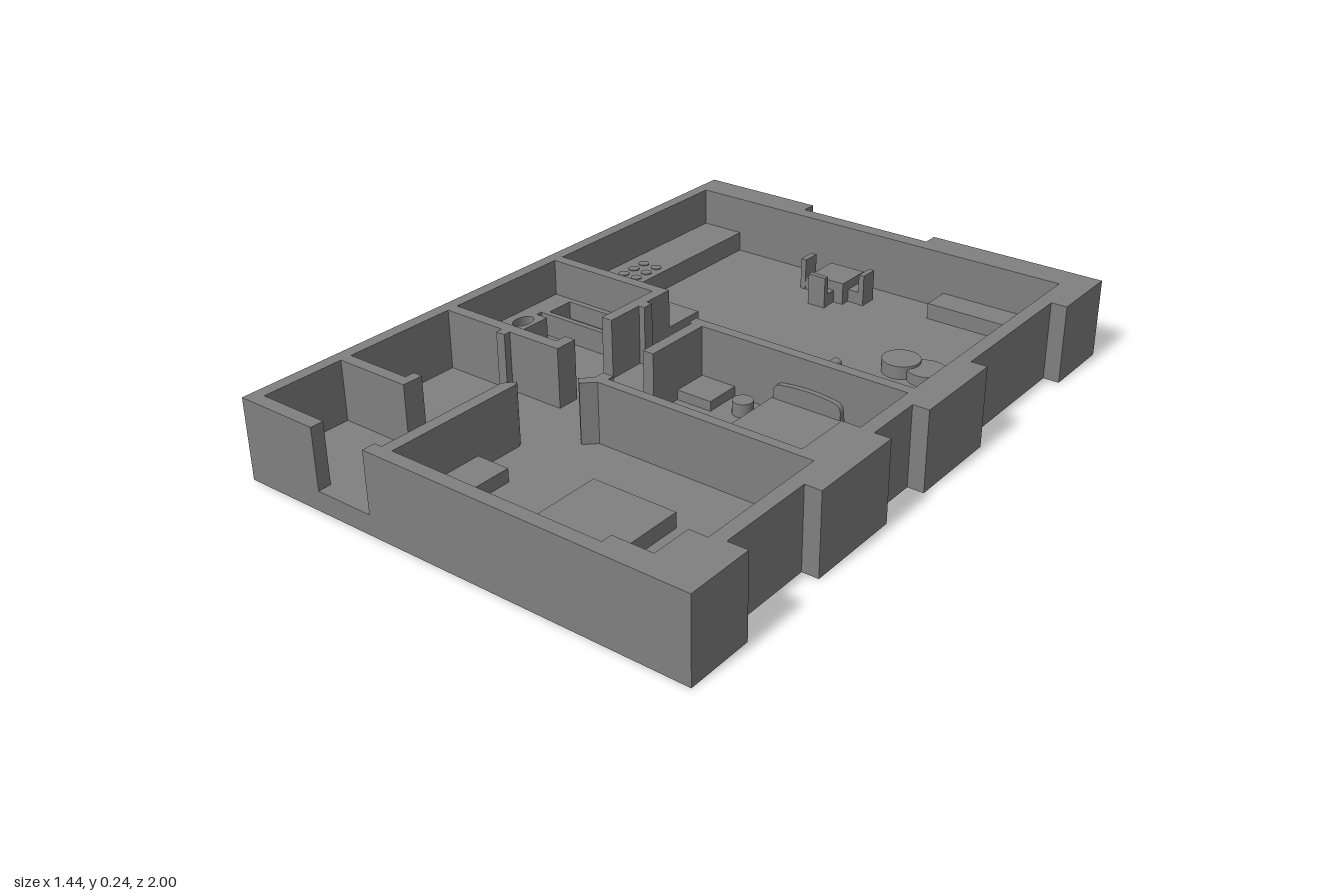
import * as THREE from 'three';

const FLOOR = 0.06, TOP = 0.242;
const material = new THREE.MeshStandardMaterial({ color: 0x808080, flatShading: true });
const smooth = new THREE.MeshStandardMaterial({ color: 0x808080 });

// Outer plan [x, z], from the right of the entrance round to its left
const outer = [
  [-0.272, 1], [0.718, 1], [0.718, 0.795], [0.659, 0.795], [0.659, 0.495], [0.708, 0.495],
  [0.708, 0.19], [0.659, 0.19], [0.659, 0.008], [0.708, 0.008], [0.708, -0.295], [0.659, -0.295],
  [0.659, -0.767], [0.708, -0.767], [0.708, -1], [0.142, -1], [0.142, -0.952], [-0.313, -0.952],
  [-0.313, -1], [-0.718, -1], [-0.718, 1], [-0.457, 1],
];
// Inner faces of the rooms, one run of points per room
const entry = [[-0.457, 0.96], [-0.68, 0.96], [-0.68, 0.705], [-0.442, 0.705], [-0.442, 0.64], [-0.472, 0.64], [-0.472, 0.67]];
const closet = [[-0.68, 0.67], [-0.68, 0.308], [-0.472, 0.308], [-0.472, 0.33], [-0.442, 0.33], [-0.442, 0.308], [-0.267, 0.308]];
const bathroom = [
  [-0.267, 0.237], [-0.302, 0.237], [-0.302, 0.272], [-0.68, 0.272], [-0.68, -0.143], [-0.302, -0.143],
  [-0.302, 0.082], [-0.267, 0.082], [-0.267, -0.04], [-0.248, -0.04], [-0.248, -0.075], [-0.267, -0.075],
];
const living = [[-0.267, -0.178], [-0.68, -0.178], [-0.68, -0.903], [0.617, -0.903], [0.617, -0.073], [-0.088, -0.073], [-0.088, -0.04]];
const smallBedroom = [
  [-0.077, -0.04], [-0.077, 0.177], [-0.042, 0.177], [-0.042, -0.04], [0.617, -0.04], [0.617, 0.187],
  [0.563, 0.187], [0.563, 0.362], [-0.042, 0.362], [-0.042, 0.342], [-0.077, 0.342], [-0.077, 0.375],
];
const largeBedroom = [
  [-0.108, 0.405], [-0.088, 0.425], [-0.053, 0.392], [0.617, 0.392], [0.617, 0.807], [0.563, 0.807],
  [0.563, 0.927], [0.443, 0.927], [0.443, 0.96], [-0.212, 0.96], [-0.212, 0.53], [-0.221, 0.515],
  [-0.248, 0.545], [-0.248, 0.96], [-0.272, 0.96],
];

const plan = (points) => new THREE.Shape(points.map(([x, z]) => new THREE.Vector2(x, -z)));
const rectPlan = (x0, x1, z0, z1) => plan([[x0, z0], [x1, z0], [x1, z1], [x0, z1]]);
const ovalPlan = (x, z, rx, rz) => new THREE.Path().absellipse(x, -z, rx, rz, 0, Math.PI * 2);

function add(group, name, geometry, mat = material) {
  const mesh = new THREE.Mesh(geometry, mat);
  mesh.name = name;
  group.add(mesh);
}

// Raise a plan shape from y0 to y1
function raise(group, name, shape, y0, y1) {
  const geometry = new THREE.ExtrudeGeometry(shape, { depth: y1 - y0, bevelEnabled: false, curveSegments: 16 });
  geometry.rotateX(-Math.PI / 2).translate(0, y0, 0);
  add(group, name, geometry);
}

function box(group, name, x0, x1, z0, z1, top, bottom = FLOOR) {
  const geometry = new THREE.BoxGeometry(x1 - x0, top - bottom, z1 - z0);
  geometry.translate((x0 + x1) / 2, (top + bottom) / 2, (z0 + z1) / 2);
  add(group, name, geometry);
}

function disc(group, name, x, z, radius, top, bottom = FLOOR) {
  const geometry = new THREE.CylinderGeometry(radius, radius, top - bottom, 32);
  geometry.translate(x, (top + bottom) / 2, z);
  add(group, name, geometry, smooth);
}

// Upright panel with rounded top corners and a crown rising to the middle
function panel(group, name, x0, x1, z0, z1, top, radius, crown) {
  const shape = new THREE.Shape();
  shape.moveTo(x0, FLOOR);
  shape.lineTo(x1, FLOOR);
  shape.lineTo(x1, top - radius);
  shape.quadraticCurveTo(x1, top, x1 - radius, top);
  shape.quadraticCurveTo((x0 + x1) / 2, top + crown, x0 + radius, top);
  shape.quadraticCurveTo(x0, top, x0, top - radius);
  const geometry = new THREE.ExtrudeGeometry(shape, { depth: z1 - z0, bevelEnabled: false, curveSegments: 8 });
  add(group, name, geometry.translate(0, 0, z0));
}

// Block with a basin sunk into its top
function basinBlock(group, name, [x0, x1, z0, z1], hole, top, depth) {
  const shape = rectPlan(x0, x1, z0, z1);
  shape.holes.push(hole);
  raise(group, name, shape, top - depth, top);
  box(group, name + 'Base', x0, x1, z0, z1, top - depth);
}

// Bed between z0 and z1, with its arched headboard starting at z = head
function bed(group, name, x0, x1, z0, z1, head) {
  const g = new THREE.Group();
  g.name = name;
  box(g, 'mattress', x0, x1, z0, z1, 0.105);
  panel(g, 'headboard', x0 + 0.004, x1 - 0.004, head, head + 0.016, 0.152, 0.03, 0.012);
  group.add(g);
}

// Dining chair: seat block and a back on the side away from the table
function chair(group, x, z, angle) {
  const g = new THREE.Group();
  g.name = 'diningChair';
  box(g, 'seat', -0.028, 0.028, 0, 0.054, 0.1);
  box(g, 'backrest', -0.03, 0.03, 0.038, 0.056, 0.16);
  g.position.set(x, 0, z);
  g.rotation.y = angle;
  group.add(g);
}

export function createModel() {
  const model = new THREE.Group();
  model.name = 'apartment';

  // Shell
  raise(model, 'floorSlab', plan(outer), 0, FLOOR);
  raise(model, 'walls', plan([...outer, ...entry, ...closet, ...bathroom, ...living, ...smallBedroom, ...largeBedroom]), FLOOR, TOP);

  // Kitchen
  box(model, 'longCounter', -0.68, -0.537, -0.903, -0.318, 0.123);
  const sink = new THREE.Path();
  sink.absarc(-0.43, 0.255, 0.032, -Math.PI / 2, Math.PI / 2);
  sink.absarc(-0.472, 0.255, 0.032, Math.PI / 2, Math.PI * 1.5);
  sink.closePath();
  basinBlock(model, 'sinkCounter', [-0.68, -0.267, -0.318, -0.178], sink, 0.123, 0.035);
  for (const x of [-0.625, -0.575])
    for (const z of [-0.5, -0.45, -0.4]) disc(model, 'burner', x, z, 0.017, 0.126, 0.12);

  // Dining set
  box(model, 'diningTable', -0.143, -0.022, -0.857, -0.737, 0.13);
  chair(model, -0.083, -0.737, 0);
  chair(model, -0.022, -0.797, Math.PI / 2);
  chair(model, -0.143, -0.797, -Math.PI / 2);

  // Living room
  box(model, 'mediaCabinet', 0.24, 0.547, -0.903, -0.808, 0.11);
  disc(model, 'coffeeTable', 0.36, -0.453, 0.057, 0.1);
  disc(model, 'lowCoffeeTable', 0.443, -0.453, 0.057, 0.092);
  const sofa = new THREE.Group();
  sofa.name = 'sofa';
  box(sofa, 'seat', 0.26, 0.525, -0.28, -0.16, 0.11);
  panel(sofa, 'backrest', 0.238, 0.546, -0.16, -0.123, 0.18, 0.016, 0);
  for (const x of [0.238, 0.516]) panel(sofa, 'arm', x, x + 0.03, -0.28, -0.16, 0.137, 0.012, 0);
  model.add(sofa);

  // Bathroom
  const tub = new THREE.Path();
  tub.moveTo(-0.61, 0.035);
  tub.lineTo(-0.385, 0.035);
  tub.absarc(-0.385, 0.08, 0.045, -Math.PI / 2, Math.PI / 2);
  tub.lineTo(-0.61, 0.125);
  tub.closePath();
  basinBlock(model, 'bathtub', [-0.68, -0.302, -0.143, -0.018], tub, 0.13, 0.055);
  basinBlock(model, 'vanity', [-0.68, -0.588, 0.002, 0.112], ovalPlan(-0.628, 0.062, 0.025, 0.038), 0.13, 0.03);
  box(model, 'ledge', -0.68, -0.628, -0.018, 0.002, 0.13);
  box(model, 'ledge', -0.68, -0.628, 0.112, 0.272, 0.13);

  // Toilet: D-shaped bowl in front of a slim cistern
  const bowlOutline = (x, r, Type) => {
    const p = new Type();
    p.moveTo(x, -0.193 - r);
    p.lineTo(-0.575, -0.193 - r * 0.9);
    p.absellipse(-0.575, -0.193, r, r * 0.9, -Math.PI / 2, Math.PI / 2);
    p.lineTo(x, -0.193 + r);
    p.closePath();
    return p;
  };
  raise(model, 'toiletBase', bowlOutline(-0.615, 0.044, THREE.Shape), FLOOR, 0.085);
  const rim = bowlOutline(-0.615, 0.044, THREE.Shape);
  rim.holes.push(bowlOutline(-0.604, 0.032, THREE.Path));
  raise(model, 'toiletRim', rim, 0.085, 0.105);
  box(model, 'cistern', -0.628, -0.61, 0.149, 0.237, 0.13);

  // Bedrooms
  bed(model, 'smallBed', 0.207, 0.432, -0.04, 0.277, -0.04);
  bed(model, 'largeBed', 0.102, 0.362, 0.595, 0.96, 0.944);
  for (const x of [0.147, 0.492]) disc(model, 'bedsideTable', x, 0.026, 0.03, 0.1);
  for (const x of [0.031, 0.436]) disc(model, 'bedsideTable', x, 0.855, 0.036, 0.1);
  box(model, 'desk', -0.042, 0.072, -0.04, 0.073, 0.09);
  box(model, 'dresser', -0.212, -0.108, 0.68, 0.922, 0.1);

  return model;
}
